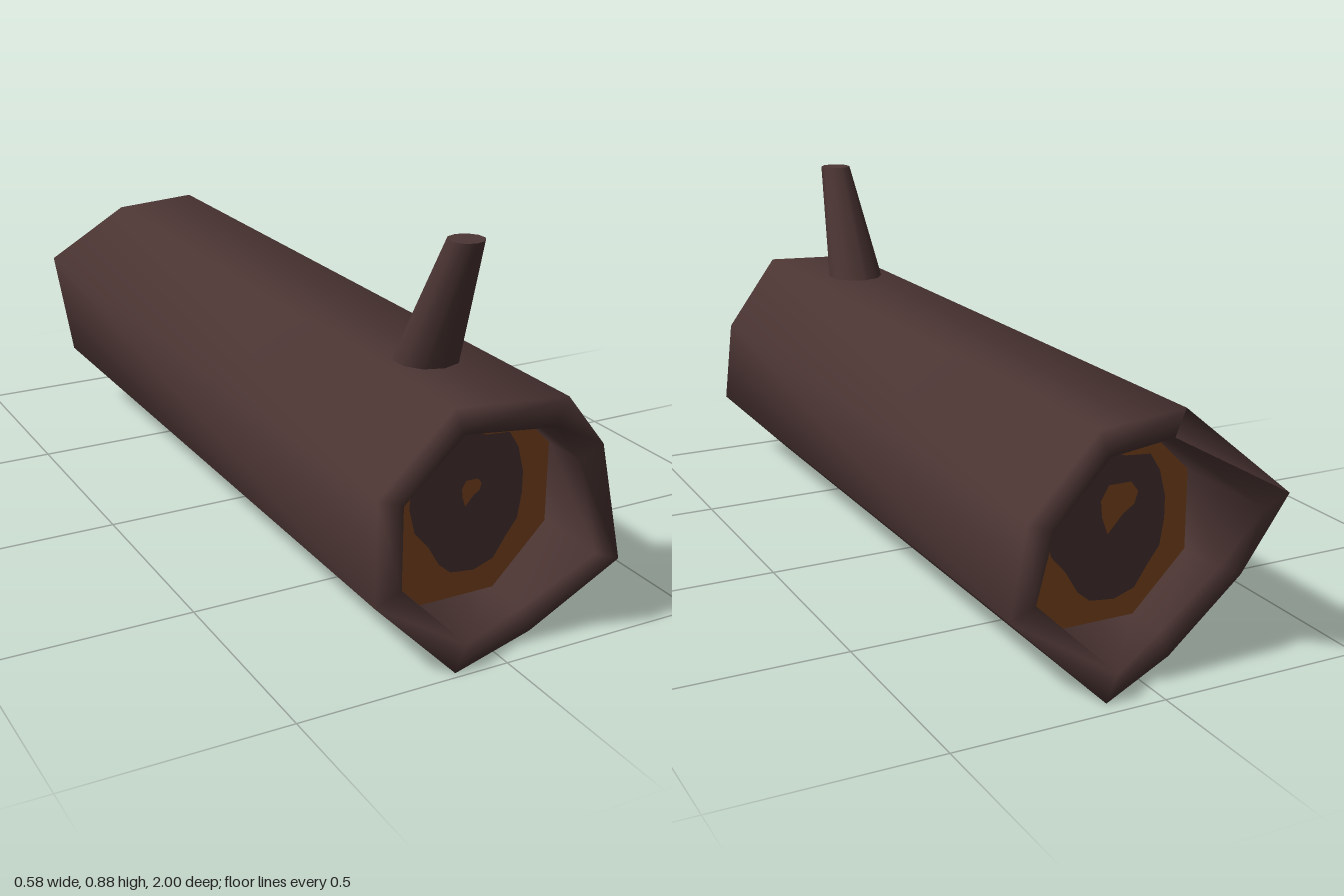
import * as THREE from 'three';

const SIDES = 8;
const CENTER_Y = 0.29;
const OUTER = 0.29 / Math.cos(Math.PI / SIDES);
const INNER = 0.228 / Math.cos(Math.PI / SIDES);

// Jagged end heights, one per corner, counter-clockwise from the upper +x side
const FRONT_Z = [0.91, 1.0, 0.95, 0.94, 0.94, 0.985, 0.91, 0.985];
const BACK_Z = [-0.92, -0.91, -0.86, -1.0, -0.85, -0.83, -0.96, -0.85];
const FRONT_FLOOR = 0.8;
const BACK_FLOOR = -0.72;

// Hollow-ended log lofted from octagonal rings
function logGeometry() {
  const rings = [
    [INNER, () => FRONT_FLOOR],
    [INNER, (k) => FRONT_Z[k]],
    [OUTER, (k) => FRONT_Z[k]],
    [OUTER, (k) => BACK_Z[k]],
    [INNER, (k) => BACK_Z[k]],
    [INNER, () => BACK_FLOOR],
  ];
  const positions = [];
  const index = [];
  rings.forEach(([radius, z], r) => {
    for (let k = 0; k < SIDES; k++) {
      const a = ((k + 0.5) / SIDES) * Math.PI * 2;
      positions.push(Math.cos(a) * radius, CENTER_Y + Math.sin(a) * radius, z(k));
      if (r === rings.length - 1) continue;
      const n = (k + 1) % SIDES;
      const p = r * SIDES + k, q = r * SIDES + n;
      index.push(p, p + SIDES, q, q, p + SIDES, q + SIDES);
    }
  });
  const geometry = new THREE.BufferGeometry();
  geometry.setAttribute('position', new THREE.Float32BufferAttribute(positions, 3));
  geometry.setIndex(index);
  geometry.computeVertexNormals();
  return geometry;
}

// Irregular flat patch through a closed loop of points
function patchGeometry(points) {
  const shape = new THREE.Shape(points.map(([x, y]) => new THREE.Vector2(x, y)));
  return new THREE.ShapeGeometry(shape);
}

const RING = [
  [-0.03, 0.165], [-0.06, 0.155], [-0.1, 0.11], [-0.125, 0.06], [-0.13, 0.01],
  [-0.115, -0.05], [-0.08, -0.09], [-0.05, -0.14], [-0.02, -0.165], [0.04, -0.172],
  [0.09, -0.155], [0.12, -0.11], [0.15, -0.07], [0.16, -0.01], [0.16, 0.04],
  [0.145, 0.1], [0.12, 0.14], [0.06, 0.145], [0.03, 0.155],
];
const CORE = [
  [0.01, 0.048], [0, 0.03], [0.002, 0.01], [0.01, -0.012],
  [0.03, 0.01], [0.045, 0.02], [0.05, 0.035], [0.04, 0.048],
];

export function createModel() {
  const bark = new THREE.MeshStandardMaterial({ color: 0x4b3533 });
  bark.name = 'darkBark';
  const wood = new THREE.MeshStandardMaterial({ color: 0x844a22 });
  wood.name = 'orangeWood';

  const model = new THREE.Group();
  model.name = 'hollowLog';
  const add = (parent, name, geometry, material) => {
    const mesh = new THREE.Mesh(geometry, material);
    mesh.name = name;
    parent.add(mesh);
    return mesh;
  };

  add(model, 'trunk', logGeometry(), bark);

  // Cut wood inside each end: face, growth ring and core
  const addCutFace = (name, z, turn, ringScale, coreScale) => {
    const group = new THREE.Group();
    group.name = name;
    group.position.set(0, CENTER_Y, z);
    group.rotation.y = turn;
    add(group, 'woodFace', new THREE.CircleGeometry(INNER, SIDES, Math.PI / SIDES), wood);
    const ring = add(group, 'growthRing', patchGeometry(RING), bark);
    ring.position.z = 0.003;
    ring.scale.set(ringScale, ringScale, 1);
    const core = add(group, 'woodCore', patchGeometry(CORE), wood);
    core.position.z = 0.006;
    core.scale.set(coreScale, coreScale, 1);
    model.add(group);
  };
  addCutFace('frontCut', FRONT_FLOOR, 0, 1, 1);
  addCutFace('backCut', BACK_FLOOR, Math.PI, 1.05, 1.9);

  // Branch stub leaning forward, with a level top
  const branch = new THREE.CylinderGeometry(0.041, 0.084, 0.38, 10);
  const p = branch.attributes.position;
  for (let i = 0; i < p.count; i++) {
    p.setZ(i, p.getZ(i) + p.getY(i) * 0.46);
  }
  branch.computeVertexNormals();
  add(model, 'branchStub', branch, bark).position.set(-0.015, 0.69, 0.722);

  return model;
}
